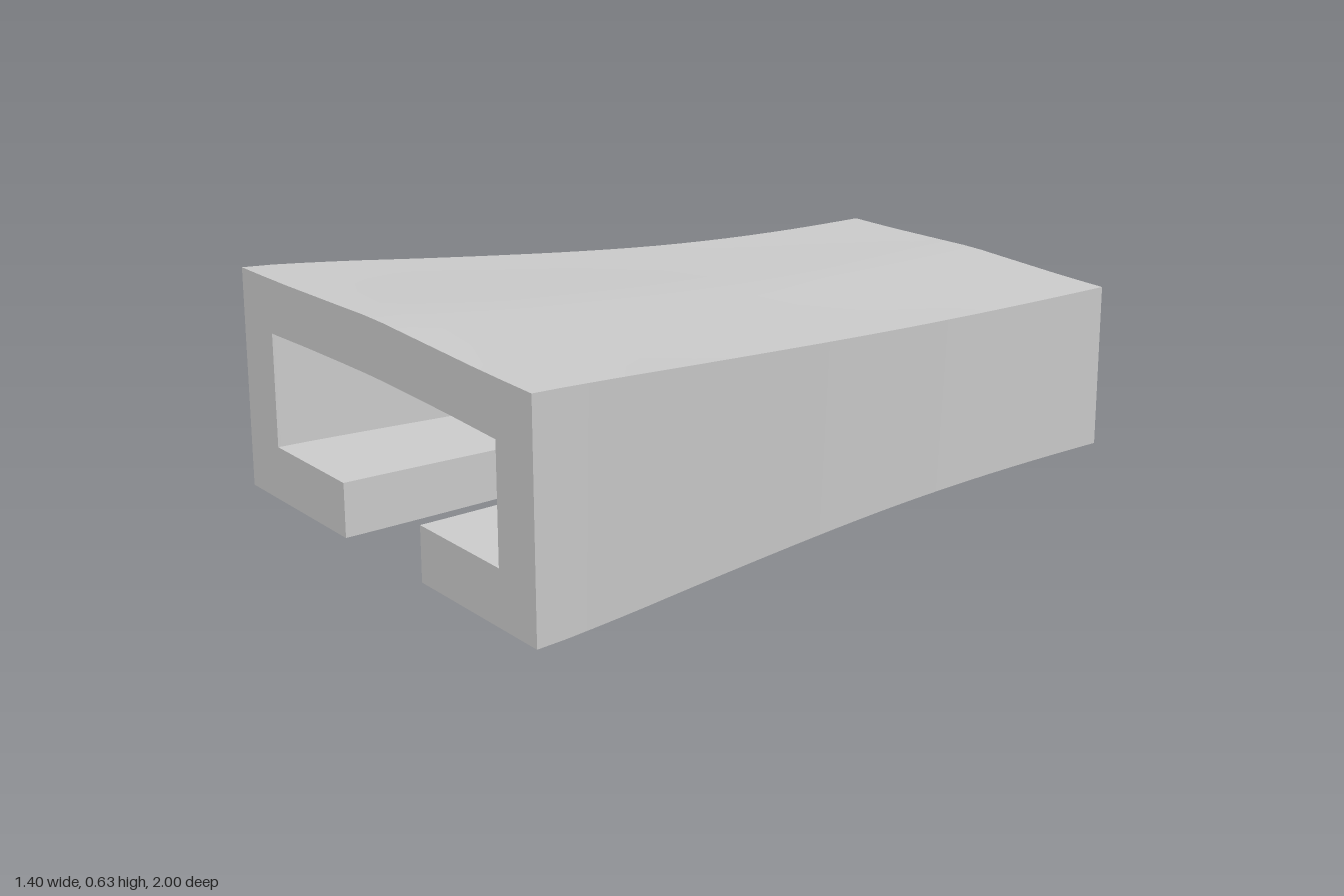
import * as THREE from 'three';
import { toCreasedNormals } from 'three/addons/utils/BufferGeometryUtils.js';

// Right half of the slotted channel section at the wide front end, from slot to crown and back
const outerHalf = [[0.19, 0], [0.7, 0], [0.7, 0.613], [0.58, 0.614], [0.45, 0.616], [0.3, 0.62], [0.15, 0.624], [0.05, 0.627]];
const innerHalf = [[0.05, 0.477], [0.18, 0.475], [0.36, 0.471], [0.545, 0.465], [0.545, 0.15], [0.19, 0.15]];

const mirror = (points) => points.map(([x, y]) => [-x, y]).reverse();

function channelShape() {
  const loop = [...outerHalf, ...mirror(outerHalf), ...mirror(innerHalf), ...innerHalf];
  return new THREE.Shape(loop.map(([x, y]) => new THREE.Vector2(x, y)));
}

// Section scale along z: widest at the front, easing to a constant at the back
const taper = new THREE.SplineCurve(
  [[-1, 0.743], [-0.75, 0.747], [-0.5, 0.76], [-0.25, 0.784], [0, 0.82], [0.25, 0.864], [0.5, 0.912], [0.75, 0.962], [1, 1]]
    .map(([z, s]) => new THREE.Vector2(z, s))
);
const PIVOT_Y = 0.156;

export function createModel() {
  const group = new THREE.Group();
  group.name = 'taperedChannel';

  const geometry = new THREE.ExtrudeGeometry(channelShape(), { depth: 2, steps: 24, bevelEnabled: false });
  geometry.translate(0, 0, -1);

  // Scale each cross-section about the pivot height
  const pos = geometry.attributes.position;
  for (let i = 0; i < pos.count; i++) {
    const z = pos.getZ(i);
    const s = taper.getPoint(THREE.MathUtils.clamp((z + 1) / 2, 0, 1)).y;
    pos.setXY(i, pos.getX(i) * s, PIVOT_Y + (pos.getY(i) - PIVOT_Y) * s);
  }

  const body = new THREE.Mesh(
    toCreasedNormals(geometry, 0.5),
    new THREE.MeshStandardMaterial({ color: 0xcccccc })
  );
  body.name = 'channelBody';
  group.add(body);
  return group;
}
